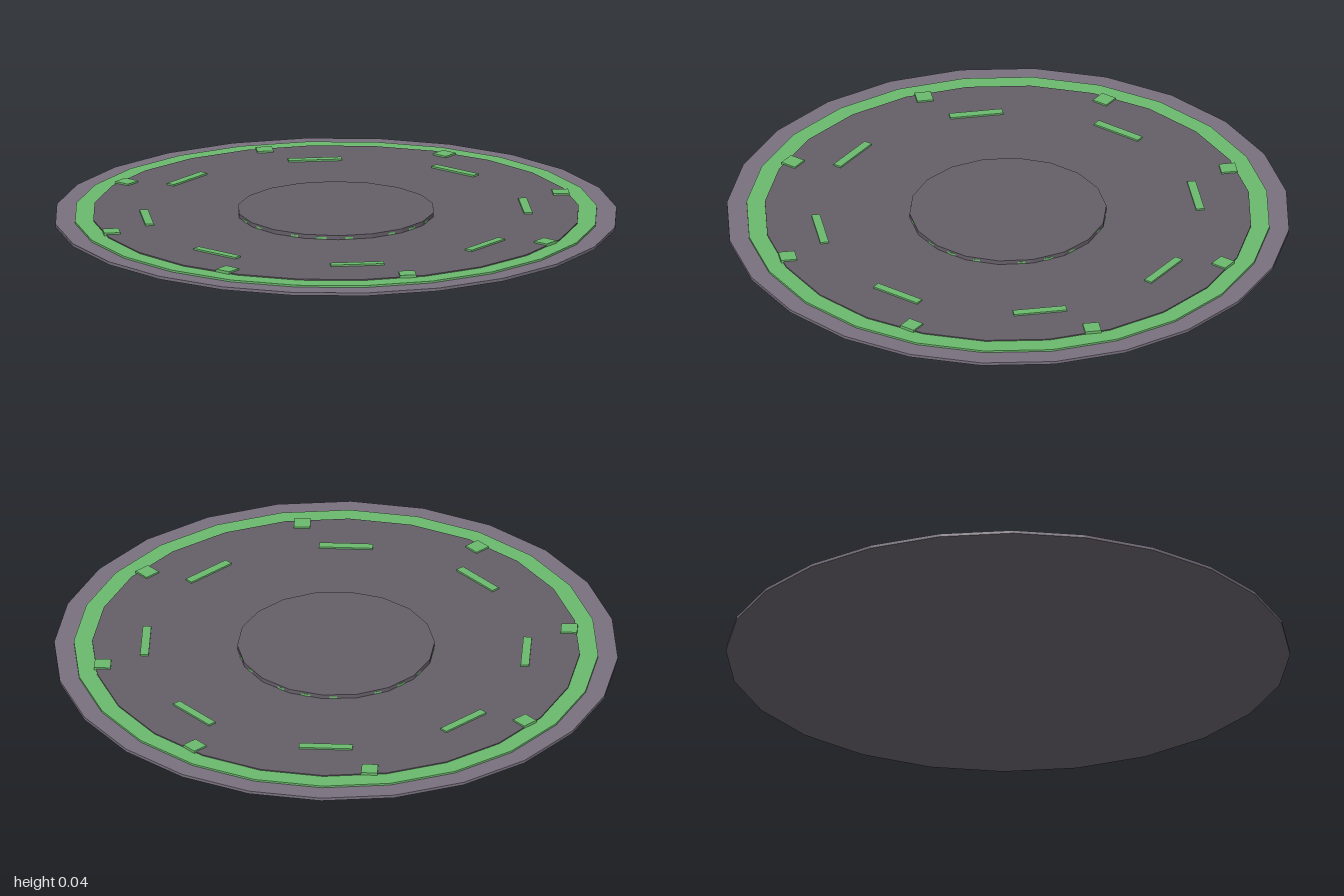
import * as THREE from 'three';

const paint = (color) => new THREE.MeshStandardMaterial({ color, flatShading: true });

export function createModel() {
  const model = new THREE.Group();
  const rimGrey = paint(0x7a7280);
  const deckGrey = paint(0x666069);
  const green = paint(0x6cbb6e);

  // Stacked faceted discs, each given by radius, bottom, top and side count
  const disc = (name, radius, bottom, top, sides, material) => {
    const mesh = new THREE.Mesh(
      new THREE.CylinderGeometry(radius, radius, top - bottom, sides), material);
    mesh.name = name;
    mesh.position.y = (bottom + top) / 2;
    model.add(mesh);
  };
  disc('basePlate', 1, 0, 0.011, 24, rimGrey);
  disc('glowRing', 0.93, 0.009, 0.018, 24, green);
  disc('deck', 0.865, 0.012, 0.022, 24, deckGrey);
  disc('hubTrim', 0.347, 0.02, 0.03, 24, green);
  disc('hub', 0.35, 0.02, 0.037, 18, deckGrey);

  // Eight light bars and eight edge studs, repeated every 45 degrees
  const bar = new THREE.BoxGeometry(0.19, 0.012, 0.03);
  const stud = new THREE.BoxGeometry(0.058, 0.014, 0.058);
  for (let i = 0; i < 8; i++) {
    const turn = (i * Math.PI) / 4;
    const place = (name, geometry, radius, angle, y) => {
      const mesh = new THREE.Mesh(geometry, green);
      mesh.name = name + (i + 1);
      mesh.position.set(Math.sin(angle) * radius, y, Math.cos(angle) * radius);
      mesh.rotation.y = turn;
      model.add(mesh);
    };
    place('lightBar', bar, 0.675, turn, 0.022);
    place('edgeStud', stud, 0.835, turn + Math.PI / 16, 0.021);
  }
  return model;
}
